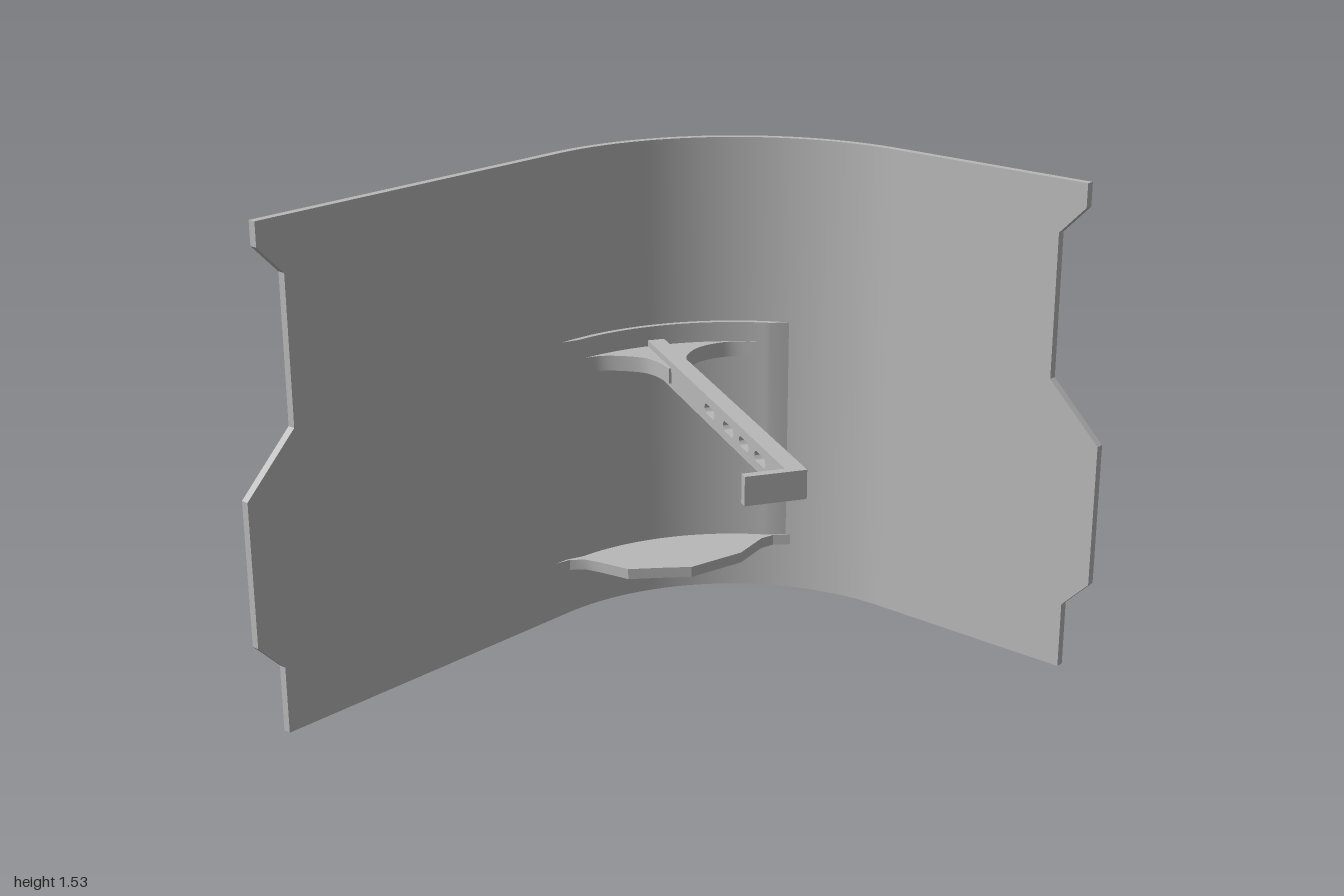
import * as THREE from 'three';
import { toCreasedNormals } from 'three/addons/utils/BufferGeometryUtils.js';

const HEIGHT = 1.533, THICK = 0.025;
const CX = 0.25, CZ = -0.02, R = 0.75; // corner bend: centre and outer radius

export function createModel() {
  const model = new THREE.Group();
  const steel = new THREE.MeshStandardMaterial({ color: 0xb8b8b8 });
  steel.name = 'grey steel';

  const add = (name, geometry, parent = model) => {
    const mesh = new THREE.Mesh(geometry, steel);
    mesh.name = name;
    parent.add(mesh);
    return mesh;
  };
  const extrude = (shape, depth) => toCreasedNormals(
    new THREE.ExtrudeGeometry(shape, { depth, bevelEnabled: false, curveSegments: 16 }), 0.5);

  // Plan outline, given as [x, z], raised from y0 to y1
  const slab = (name, points, y0, y1) => {
    const shape = new THREE.Shape(points.map(([x, z]) => new THREE.Vector2(x, -z)));
    return add(name, extrude(shape, y1 - y0).rotateX(-Math.PI / 2).translate(0, y0, 0));
  };
  const arc = (radius, from, to, steps = 40) => Array.from({ length: steps + 1 }, (_, i) => {
    const a = THREE.MathUtils.degToRad(from + (to - from) * i / steps);
    return [CX + radius * Math.cos(a), CZ - radius * Math.sin(a)];
  });
  const spline = (points) => new THREE.SplineCurve(points.map((p) => new THREE.Vector2(...p)))
    .getPoints(24).map((p) => [p.x, p.y]);

  // Flat wall with stepped free edge; u runs outwards from the bend
  const wallShape = (length) => {
    const edge = [[0.09, 0], [0.09, 0.21], [0, 0.3], [0, 0.747], [0.178, 0.922],
      [0.178, 1.372], [0.09, 1.46], [0.09, HEIGHT]];
    return new THREE.Shape([[0, 0], ...edge.map(([d, y]) => [length - d, y]), [0, HEIGHT]]
      .map((p) => new THREE.Vector2(...p)));
  };
  const rightWall = add('rightWall', extrude(wallShape(1 + CX), THICK));
  rightWall.rotation.y = Math.PI;
  rightWall.position.set(CX, 0, CZ - R + THICK);
  const leftWall = add('leftWall', extrude(wallShape(0.77 - CZ), THICK));
  leftWall.rotation.y = -Math.PI / 2;
  leftWall.position.set(CX + R, 0, CZ);

  // Rounded corner between the walls
  slab('cornerBend', [...arc(R, 0, 90, 48), ...arc(R - THICK, 90, 0, 48)], 0, HEIGHT);

  // Reinforcing liner inside the bend, tapered at both ends
  slab('liner', [...arc(R - THICK + 0.002, 27, 91), ...arc(R - THICK - 0.018, 86, 32)], 0.155, 0.93);

  // Lower gusset plate
  slab('lowerGusset', [[0.2, -0.745], [0.25, -0.735], [0.285, -0.7], [0.3, -0.65], [0.32, -0.54],
    [0.42, -0.45], [0.47, -0.4], [0.67, -0.36], [0.81, -0.39], [0.86, -0.38], [0.9, -0.34],
    ...arc(R - THICK + 0.002, 29, 88)], 0.155, 0.19);

  // Flared web joining the arm to the liner
  slab('armWeb', [
    ...spline([[0.28, -0.735], [0.375, -0.7], [0.44, -0.61], [0.45, -0.54], [0.42, -0.45]]),
    ...spline([[0.48, -0.42], [0.56, -0.5], [0.66, -0.53], [0.76, -0.5], [0.82, -0.43]]),
    ...arc(R - THICK, 36, 87)], 0.815, 0.865);

  // Slotted arm with a short lip at its free end
  const arm = new THREE.Group();
  arm.name = 'arm';
  arm.position.set(-0.045, 0.8, 0.48);
  arm.rotation.y = Math.PI / 3;
  model.add(arm);
  const H = 0.085, W = 0.055, L = 1.285;
  const bar = new THREE.Shape([[0, 0], [L, 0], [L, H], [0, H]].map((p) => new THREE.Vector2(...p)));
  const slot = (a, b, r) => {
    const hole = new THREE.Path();
    hole.absarc(b - r, H / 2, r, -Math.PI / 2, Math.PI / 2);
    hole.absarc(a + r, H / 2, r, Math.PI / 2, Math.PI * 1.5);
    bar.holes.push(hole);
  };
  slot(0.062, 0.083, 0.01);
  [[0.18, 0.27], [0.32, 0.4], [0.45, 0.54], [0.62, 0.71]].forEach(([a, b]) => slot(a, b, 0.015));
  add('armBar', extrude(bar, W).translate(0, 0, -W), arm);
  add('armLip', new THREE.BoxGeometry(0.027, H, 0.18 - W).translate(0.0135, H / 2, -(0.18 + W) / 2), arm);

  return model;
}
